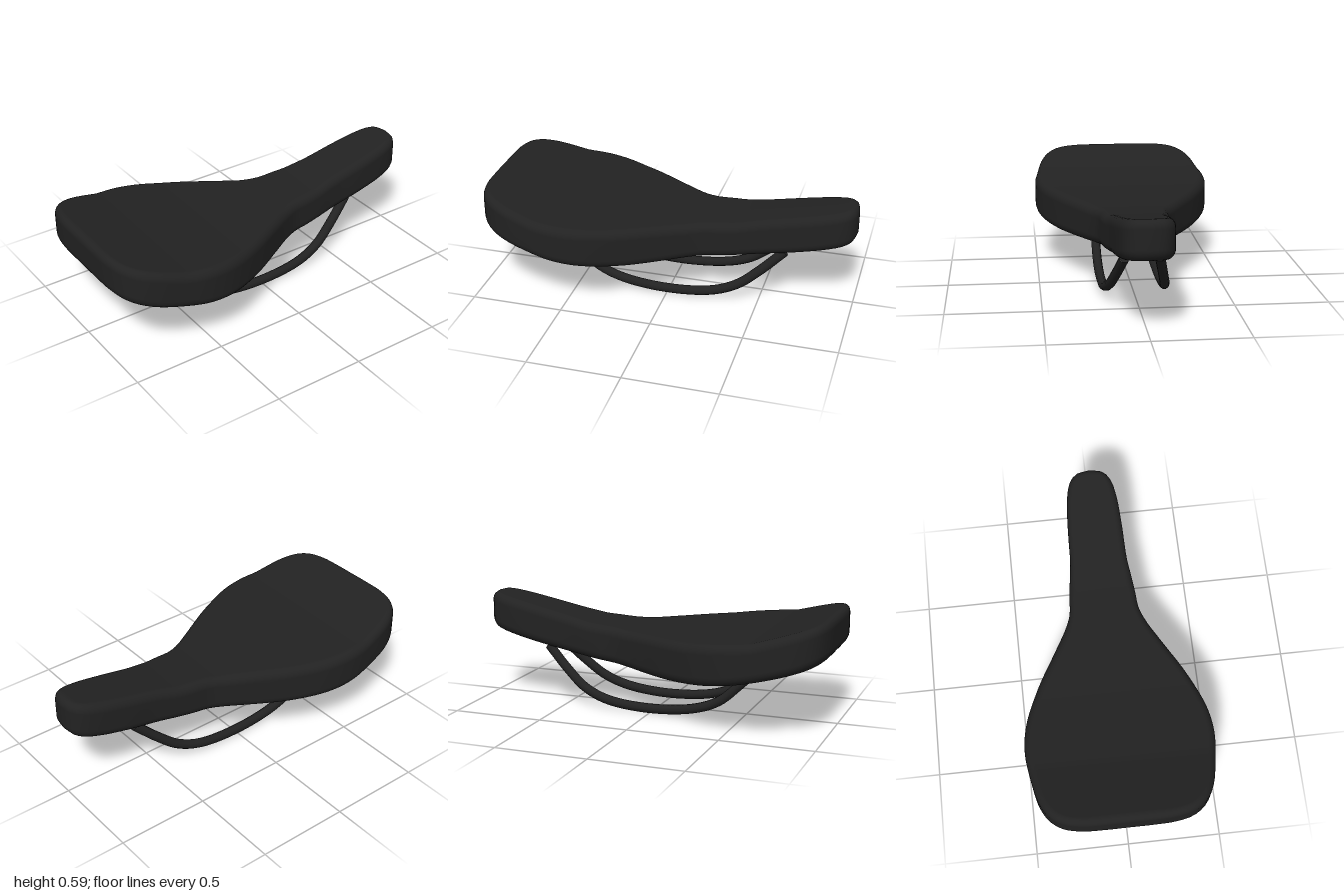
import * as THREE from 'three';

const lerp = THREE.MathUtils.lerp;

// Half of the plan outline: x along the saddle, half width
const OUTLINE = [
  [-1, 0], [-1, 0.12], [-0.995, 0.24], [-0.97, 0.34], [-0.92, 0.405], [-0.84, 0.45],
  [-0.7, 0.482], [-0.55, 0.5], [-0.4, 0.48], [-0.2, 0.4], [0, 0.29], [0.13, 0.22],
  [0.21, 0.19], [0.3, 0.182], [0.4, 0.17], [0.5, 0.157], [0.7, 0.15], [0.85, 0.138],
  [0.94, 0.115], [0.985, 0.075], [1, 0],
];

// Side profile: upper and lower faces of the dipped body
const TOP = [[-1, 0.603], [-0.65, 0.504], [-0.3, 0.472], [0.12, 0.456], [0.37, 0.474], [1, 0.603]];
function topY(x) {
  let i = 1;
  while (i < TOP.length - 1 && x > TOP[i][0]) i++;
  const [a, b] = [TOP[i - 1], TOP[i]];
  return lerp(a[1], b[1], (x - a[0]) / (b[0] - a[0]));
}
const bottomY = (x) => 0.25 + 0.15 * x * x + 0.03 * x * (1 - x * x);

// Padded body: stacked rings of the outline with rounded edges, closed by cross strips
function bodyGeometry() {
  const N = 72, M = 2 * N, STEPS = 6, INSET = 0.042, ROUND = 0.05;
  const curve = new THREE.CatmullRomCurve3(OUTLINE.map(([x, w]) => new THREE.Vector3(x, 0, w)));
  const half = [];
  for (let i = 0; i <= N; i++) {
    const p = curve.getPointAt(i / N), t = curve.getTangentAt(i / N);
    if (i === 0) t.set(0, 0, 1);
    if (i === N) t.set(0, 0, -1);
    half.push({ x: p.x, z: p.z, nx: t.z, nz: -t.x });
  }

  const rings = [];
  for (let s = 0; s <= STEPS; s++) {
    const a = (s / STEPS) * Math.PI / 2;
    rings.push({ inset: INSET * (1 - Math.sin(a)), lift: ROUND * (1 - Math.cos(a)), base: bottomY });
  }
  for (let s = 0; s <= STEPS; s++) {
    const a = (s / STEPS) * Math.PI / 2;
    rings.push({ inset: INSET * (1 - Math.cos(a)), lift: -ROUND * (1 - Math.sin(a)), base: topY });
  }

  const pos = [], idx = [];
  for (const r of rings) {
    for (let j = 0; j < M; j++) {
      const h = half[j <= N ? j : M - j];
      const x = h.x + h.nx * r.inset;
      const z = j === 0 || j === N ? 0 : Math.max(h.z + h.nz * r.inset, 0.002);
      pos.push(x, r.base(x) + r.lift, j <= N ? z : -z);
    }
  }
  for (let k = 0; k < rings.length - 1; k++) {
    for (let j = 0; j < M; j++) {
      const a = k * M + j, b = k * M + (j + 1) % M;
      idx.push(a, b, b + M, a, b + M, a + M);
    }
  }
  const up = (rings.length - 1) * M;
  for (let i = 0; i < N; i++) {
    const m0 = (M - i) % M, m1 = M - i - 1;
    if (i < N - 1) {
      idx.push(up + i, up + i + 1, up + m1);
      idx.push(i, m1, i + 1);
    }
    if (i > 0) {
      idx.push(up + i, up + m1, up + m0);
      idx.push(i, m0, m1);
    }
  }
  const g = new THREE.BufferGeometry();
  g.setAttribute('position', new THREE.Float32BufferAttribute(pos, 3));
  g.setIndex(idx);
  g.computeVertexNormals();
  return g;
}

// One support rail with closed ends
function makeRail(side, material) {
  const R = 0.026;
  const points = [
    [-0.63, 0.33, 0.155], [-0.5, 0.2, 0.155], [-0.39, 0.105, 0.157], [-0.25, 0.052, 0.16],
    [0, 0.028, 0.163], [0.25, 0.052, 0.16], [0.39, 0.105, 0.145], [0.5, 0.19, 0.122],
    [0.63, 0.312, 0.09],
  ].map(([x, y, z]) => new THREE.Vector3(x, y, z * side));
  const curve = new THREE.CatmullRomCurve3(points);
  const rail = new THREE.Group();
  rail.add(new THREE.Mesh(new THREE.TubeGeometry(curve, 48, R, 10), material));
  for (const t of [0, 1]) {
    const cap = new THREE.Mesh(new THREE.CircleGeometry(R, 10), material);
    const dir = curve.getTangentAt(t).multiplyScalar(t ? 1 : -1);
    cap.position.copy(curve.getPointAt(t));
    cap.quaternion.setFromUnitVectors(new THREE.Vector3(0, 0, 1), dir);
    cap.name = 'railEnd';
    rail.add(cap);
  }
  rail.children[0].name = 'railTube';
  rail.name = side > 0 ? 'frontRail' : 'backRail';
  return rail;
}

export function createModel() {
  const black = new THREE.MeshStandardMaterial({ color: 0x222222 });
  black.name = 'black';

  const model = new THREE.Group();
  model.name = 'bicycleSaddle';
  const body = new THREE.Mesh(bodyGeometry(), black);
  body.name = 'saddleBody';
  model.add(body, makeRail(1, black), makeRail(-1, black));
  return model;
}
